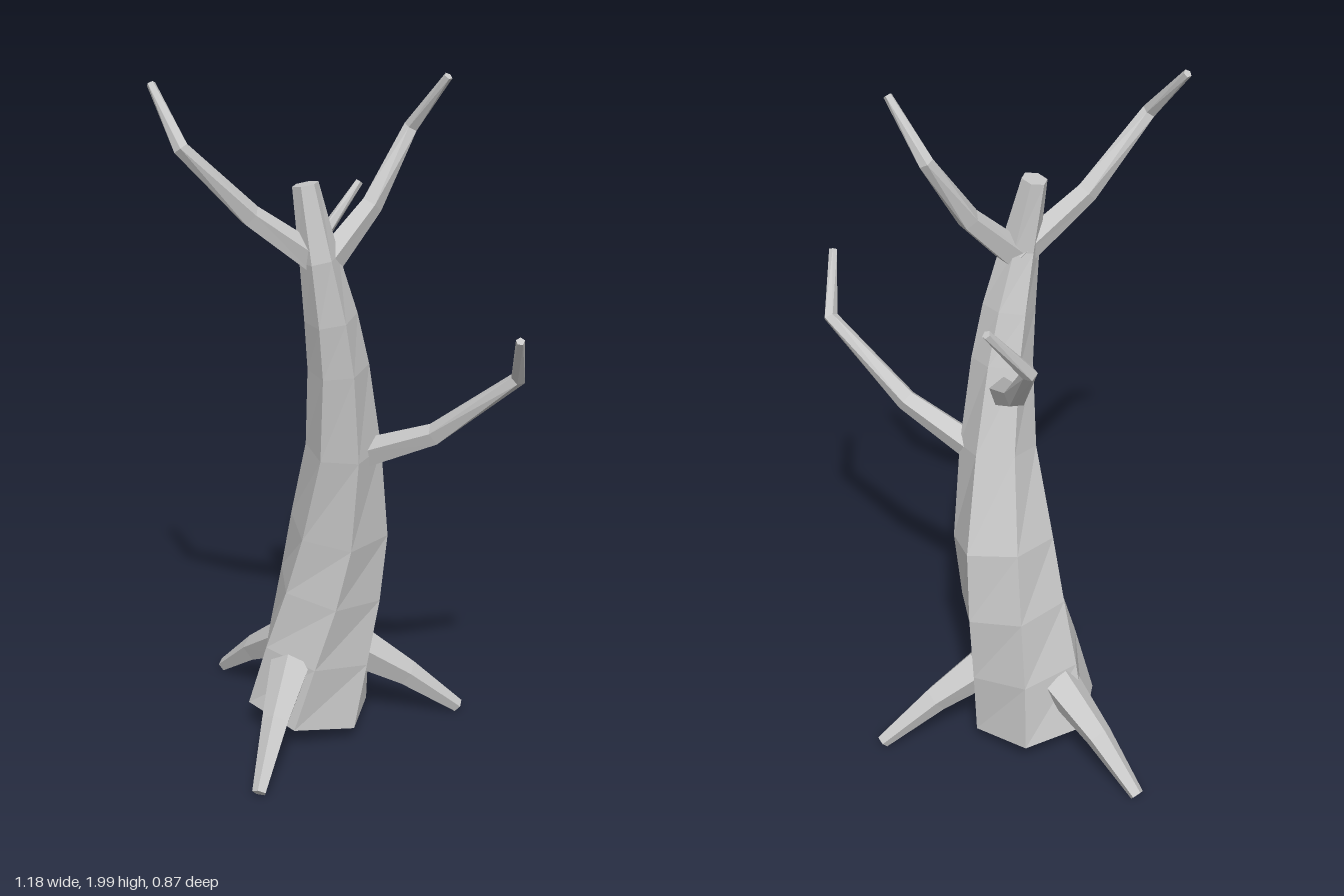
import * as THREE from 'three';

const bark = new THREE.MeshStandardMaterial({ color: 0xc8c8c8, flatShading: true });
bark.name = 'grey bark';

// Sweeps a tapering, twisting polygon along a bent path.
// Each station is [x, y, z, radius, angle in degrees].
function limb(name, stations, sides, ref) {
  const pts = stations.map(s => new THREE.Vector3(s[0], s[1], s[2]));
  const last = pts.length - 1;
  const rings = stations.map(([, , , radius, deg = 0], i) => {
    const t = new THREE.Vector3();
    if (i > 0) t.add(pts[i].clone().sub(pts[i - 1]).normalize());
    if (i < last) t.add(pts[i + 1].clone().sub(pts[i]).normalize());
    t.normalize();
    const u = ref.clone().addScaledVector(t, -ref.dot(t)).normalize();
    const v = u.clone().cross(t);
    return Array.from({ length: sides }, (_, k) => {
      const a = deg * Math.PI / 180 + k / sides * Math.PI * 2;
      return pts[i].clone()
        .addScaledVector(u, Math.cos(a) * radius)
        .addScaledVector(v, Math.sin(a) * radius);
    });
  });

  const out = [];
  const tri = (...corners) => corners.forEach(p => out.push(p.x, p.y, p.z));
  for (let k = 0; k < sides; k++) {
    const n = (k + 1) % sides;
    for (let i = 0; i < last; i++) {
      const a = rings[i][k], b = rings[i][n], c = rings[i + 1][k], d = rings[i + 1][n];
      tri(a, c, b);
      tri(b, c, d);
    }
    tri(pts[0], rings[0][k], rings[0][n]);
    tri(pts[last], rings[last][n], rings[last][k]);
  }
  const geometry = new THREE.BufferGeometry();
  geometry.setAttribute('position', new THREE.Float32BufferAttribute(out, 3));
  geometry.computeVertexNormals();
  const mesh = new THREE.Mesh(geometry, bark);
  mesh.name = name;
  return mesh;
}

export function createModel() {
  const tree = new THREE.Group();
  tree.name = 'bareTree';
  const xAxis = new THREE.Vector3(1, 0, 0);
  const yAxis = new THREE.Vector3(0, 1, 0);

  // Leaning, twisting six-sided trunk
  tree.add(limb('trunk', [
    [-0.15, 0.078, -0.038, 0.188, -6],
    [-0.122, 0.28, -0.055, 0.174, -15],
    [-0.09, 0.48, -0.074, 0.16, -24],
    [-0.055, 0.68, -0.077, 0.146, -31],
    [0.0, 0.95, -0.042, 0.107, -40],
    [0.024, 1.2, 0.0, 0.085, -47],
    [0.03, 1.35, 0.033, 0.073, -51],
    [0.028, 1.52, 0.073, 0.054, -56],
    [-0.005, 1.72, 0.092, 0.036, -60],
  ], 6, xAxis));

  // Crooked branches, each with a sharp bend near the tip
  const branches = {
    frontTopBranch: [[0.025, 1.5, 0.06], [-0.055, 1.65, 0.24], [-0.115, 1.845, 0.415], [-0.245, 1.99, 0.405]],
    backTopBranch: [[0.03, 1.505, 0.05], [0.055, 1.645, -0.09], [0.075, 1.84, -0.218], [0.195, 1.99, -0.232]],
    leftBranch: [[0.06, 0.935, -0.08], [0.26, 1.03, -0.145], [0.492, 1.235, -0.215], [0.578, 1.38, -0.12]],
    rightBranch: [[-0.03, 1.14, -0.05], [-0.195, 1.25, -0.17], [-0.36, 1.438, -0.29], [-0.333, 1.588, -0.412]],
  };
  const branchRadii = [0.043, 0.032, 0.021, 0.012];
  for (const [name, path] of Object.entries(branches)) {
    tree.add(limb(name, path.map((p, i) => [...p, branchRadii[i]]), 5, yAxis));
  }

  // Splayed roots
  const roots = {
    rightRoot: [[-0.25, 0.25, -0.05], [-0.42, 0.145, -0.055], [-0.578, 0.022, -0.06]],
    frontRoot: [[-0.085, 0.265, 0.085], [0.0, 0.165, 0.22], [0.082, 0.022, 0.355]],
    backRoot: [[-0.05, 0.25, -0.16], [0.025, 0.155, -0.28], [0.11, 0.022, -0.42]],
  };
  const rootRadii = [0.062, 0.041, 0.021];
  for (const [name, path] of Object.entries(roots)) {
    tree.add(limb(name, path.map((p, i) => [...p, rootRadii[i]]), 5, yAxis));
  }
  return tree;
}
